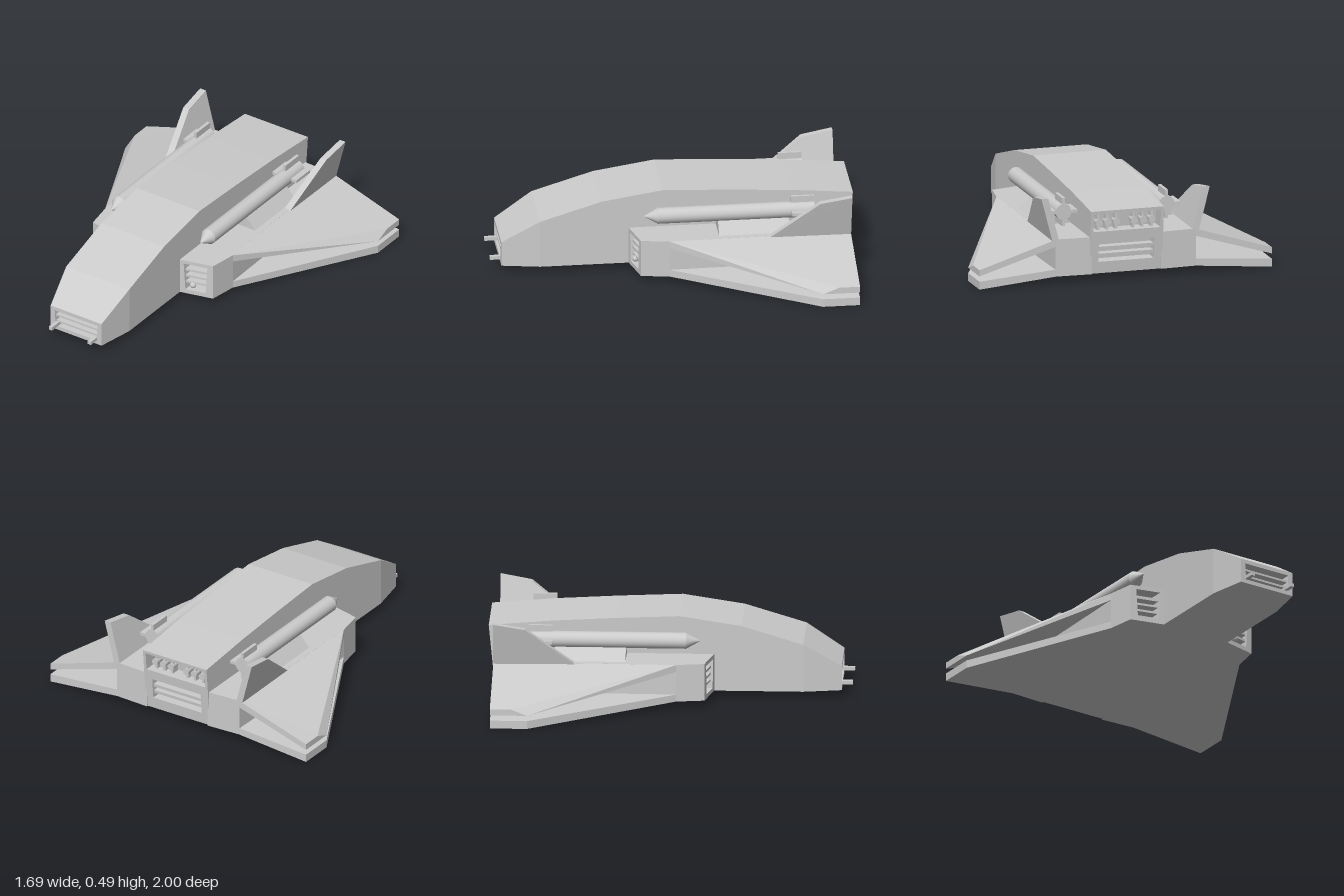
import * as THREE from 'three';

const flat = new THREE.MeshStandardMaterial({ color: 0xcccccc, flatShading: true });
const open = new THREE.MeshStandardMaterial({ color: 0xcccccc, flatShading: true, side: THREE.DoubleSide });
const smooth = new THREE.MeshStandardMaterial({ color: 0xcccccc });

function meshFrom(tris, material, name) {
  const geo = new THREE.BufferGeometry().setFromPoints(tris.flat());
  geo.computeVertexNormals();
  const mesh = new THREE.Mesh(geo, material);
  mesh.name = name;
  return mesh;
}

// Skin a row of matching convex loops; faces are turned outward by signed volume.
function loft(name, loops, { capStart = true, capEnd = true, skipSide = -1 } = {}) {
  const rows = loops.map(l => l.map(p => new THREE.Vector3(...p)));
  const n = rows[0].length;
  let tris = [];
  for (let i = 0; i < rows.length - 1; i++) {
    for (let j = 0; j < n; j++) {
      if (j === skipSide) continue;
      const k = (j + 1) % n, a = rows[i], b = rows[i + 1];
      tris.push([a[j], a[k], b[k]], [a[j], b[k], b[j]]);
    }
  }
  const cap = (r, flip) => {
    for (let j = 1; j < n - 1; j++) tris.push(flip ? [r[0], r[j + 1], r[j]] : [r[0], r[j], r[j + 1]]);
  };
  if (capStart) cap(rows[0], true);
  if (capEnd) cap(rows[rows.length - 1], false);
  const all = rows.flat();
  const mid = all.reduce((s, p) => s.add(p), new THREE.Vector3()).divideScalar(all.length);
  const volume = tris.reduce((s, [a, b, c]) => {
    const u = a.clone().sub(mid), v = b.clone().sub(mid), w = c.clone().sub(mid);
    return s + u.dot(v.cross(w));
  }, 0);
  if (volume < 0) tris = tris.map(([a, b, c]) => [a, c, b]);
  return meshFrom(tris, flat, name);
}

// Framed opening in a quad panel (corners: low left, low right, high right, high left),
// with horizontal slats at the given heights v.
function vent(name, corners, { u = 0.1, v0 = 0.12, v1 = 0.88, taper = 0, depth, slats = [], thick = 0.08 }) {
  const group = new THREE.Group();
  group.name = name;
  const c = corners.map(p => new THREE.Vector3(...p));
  const d = new THREE.Vector3(0, 0, depth);
  const at = (s, t) => c[0].clone().lerp(c[1], s).lerp(c[3].clone().lerp(c[2], s), t);
  const inner = [at(u + taper, v0), at(1 - u - taper, v0), at(1 - u, v1), at(u, v1)];
  const back = inner.map(p => p.clone().add(d));
  const tris = [[back[0], back[1], back[2]], [back[0], back[2], back[3]]];
  for (let i = 0; i < 4; i++) {
    const k = (i + 1) % 4;
    tris.push([c[i], c[k], inner[k]], [c[i], inner[k], inner[i]]);
    tris.push([inner[i], inner[k], back[k]], [inner[i], back[k], back[i]]);
  }
  group.add(meshFrom(tris, open, name + 'Frame'));
  for (const t of slats) {
    const end = s => [[t, 0.15], [t + thick, 0.15], [t + thick, 0.8], [t, 0.8]]
      .map(([h, q]) => at(s, h).addScaledVector(d, q).toArray());
    const e = u + taper * (v1 - t) / (v1 - v0);
    group.add(loft(name + 'Slat', [end(e), end(1 - e)]));
  }
  return group;
}

function box(name, w, h, d, x, y, z) {
  const mesh = new THREE.Mesh(new THREE.BoxGeometry(w, h, d), flat);
  mesh.position.set(x, y, z);
  mesh.name = name;
  return mesh;
}

function createMissile(s) {
  const g = new THREE.Group();
  g.name = 'missile';
  const tube = new THREE.Mesh(new THREE.CylinderGeometry(0.045, 0.045, 0.865, 24), smooth);
  tube.rotation.x = Math.PI / 2;
  tube.position.z = -0.3425;
  tube.name = 'missileBody';
  const tip = new THREE.Mesh(new THREE.ConeGeometry(0.045, 0.08, 24), smooth);
  tip.rotation.x = Math.PI / 2;
  tip.position.z = 0.13;
  tip.name = 'missileNose';
  g.add(tube, tip);
  g.add(box('missileFin', 0.16, 0.018, 0.13, 0, 0, -0.71), box('missileFin', 0.018, 0.16, 0.13, 0, 0, -0.71));
  g.position.set(s * 0.297, 0.352, 0);
  return g;
}

// Everything that exists once per side; s is +1 for left, -1 for right.
function createSide(s) {
  const g = new THREE.Group();
  g.name = s > 0 ? 'leftSide' : 'rightSide';
  const mir = pts => pts.map(([x, y, z]) => [s * x, y, z]);
  const part = (name, a, b, opt) => g.add(loft(name, [mir(a), mir(b)], opt));

  // Engine pod with an open front closed by the intake
  const plan = [[0.2, 0.243], [0.4, 0.195], [0.425, 0.04], [0.405, -0.965], [0.2, -0.975]];
  part('enginePod', plan.map(([x, z]) => [x, 0.04, z]), plan.map(([x, z]) => [x, 0.25, z]), { skipSide: 0 });
  g.add(vent('intake', mir([[0.2, 0.04, 0.243], [0.4, 0.04, 0.195], [0.4, 0.25, 0.195], [0.2, 0.25, 0.243]]),
    { u: 0.16, v0: 0.12, v1: 0.9, taper: 0.05, depth: -0.08, slats: [0.3, 0.48, 0.66], thick: 0.06 }));

  // Split wing: upper and lower blades
  part('upperWing',
    [[0.425, 0.25, 0.04], [0.425, 0.21, 0.04], [0.4, 0.21, -0.965], [0.4, 0.25, -0.965]],
    [[0.843, 0.11, -0.85], [0.843, 0.075, -0.76], [0.843, 0.075, -0.965], [0.843, 0.11, -0.965]]);
  part('lowerWing',
    [[0.425, 0.08, 0.04], [0.425, 0.04, 0.04], [0.4, 0.04, -0.965], [0.4, 0.08, -0.965]],
    [[0.843, 0.045, -0.76], [0.843, 0, -0.76], [0.843, 0, -0.965], [0.843, 0.045, -0.965]]);

  // Canted tail fin
  const fin = (low, high) => [[low, 0.24, -0.51], [high - 0.008, 0.455, -0.79], [high, 0.485, -0.965], [low, 0.24, -0.965]];
  part('tailFin', fin(0.383, 0.447), fin(0.422, 0.485));

  // Missile on a tapered pylon
  const pylon = z => [[0.205, 0.245, z], [0.385, 0.245, z], [0.325, 0.315, z], [0.27, 0.315, z]];
  part('pylon', pylon(-0.24), pylon(-0.63));
  g.add(createMissile(s));

  // Nose gun
  g.add(box('noseGun', 0.022, 0.02, 0.1, s * 0.13, 0.075, 0.95));
  return g;
}

export function createModel() {
  const model = new THREE.Group();
  model.name = 'spacecraft';

  // Fuselage stations: z, half width, roof height
  const stations = [[0.94, 0.17, 0.18], [0.73, 0.21, 0.31], [0.39, 0.21, 0.413],
    [0.05, 0.21, 0.465], [-0.3, 0.21, 0.45], [-0.65, 0.21, 0.43]];
  const loops = stations.map(([z, w, h]) => [[-w, 0.04, z], [w, 0.04, z], [w, h, z], [-w, h, z]]);
  loops.push([[-0.21, 0.04, -0.965], [0.21, 0.04, -0.965], [0.21, 0.4, -1], [-0.21, 0.4, -1]]);
  model.add(loft('fuselage', loops, { capStart: false, capEnd: false }));

  // Nose grille
  model.add(vent('noseGrille', loops[0],
    { u: 0.08, v0: 0.16, v1: 0.84, taper: 0.02, depth: -0.07, slats: [0.3, 0.56], thick: 0.08 }));

  // Rear: exhaust bay above, slatted vent below
  const rear = (y0, z0, y1, z1) => [[-0.21, y0, z0], [0.21, y0, z0], [0.21, y1, z1], [-0.21, y1, z1]];
  model.add(vent('rearVent', rear(0.04, -0.965, 0.26, -0.986),
    { u: 0.12, v0: 0.3, v1: 0.84, depth: 0.08, slats: [0.42, 0.6], thick: 0.08 }));
  model.add(vent('exhaustBay', rear(0.26, -0.986, 0.4, -1),
    { u: 0.04, v0: 0.15, v1: 0.88, depth: 0.09 }));
  for (const s of [-1, 1]) {
    for (let i = 0; i < 3; i++) {
      const x = s * (0.05 + i * 0.052);
      const nozzle = new THREE.Mesh(new THREE.CylinderGeometry(0.02, 0.014, 0.06, 10), smooth);
      nozzle.rotation.x = -Math.PI / 2;
      nozzle.position.set(x, 0.325, -0.935);
      nozzle.name = 'exhaustNozzle';
      model.add(nozzle, box('exhaustBlade', 0.014, 0.1, 0.05, x, 0.33, -0.925));
    }
  }

  // Sensor ball in the left intake
  const ball = new THREE.Mesh(new THREE.SphereGeometry(0.018, 16, 12), smooth);
  ball.position.set(0.277, 0.093, 0.21);
  ball.name = 'sensorBall';
  model.add(ball);

  model.add(createSide(1), createSide(-1));
  return model;
}
